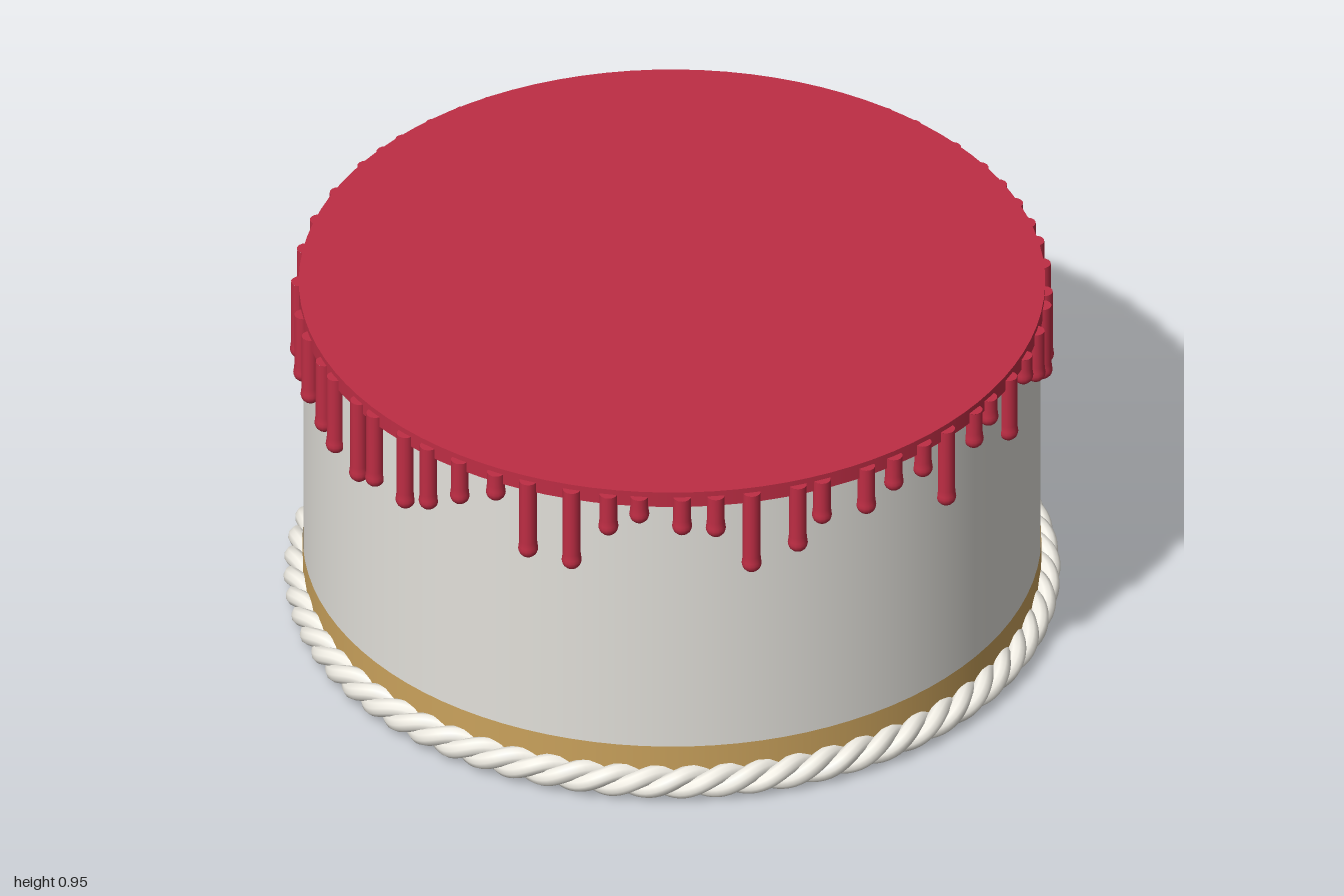
import * as THREE from 'three';

const paint = (color) => new THREE.MeshStandardMaterial({ color });

// Drips as [degrees around from the front, height of the tip]
const DRIPS = [
  [-70, 0.73], [-64, 0.73], [-56.8, 0.72], [-52.4, 0.70], [-45, 0.685], [-40.7, 0.71],
  [-33.5, 0.705], [-28.6, 0.74], [-22.5, 0.80], [-16, 0.85], [-10.5, 0.70], [-3.4, 0.69],
  [2.4, 0.81], [7.2, 0.855], [13.8, 0.82], [19, 0.81], [24.6, 0.69], [32, 0.73],
  [36, 0.80], [43.7, 0.79], [48.8, 0.83], [54.6, 0.83], [59.7, 0.70], [66.4, 0.82],
  [70.5, 0.85], [76.9, 0.74], [83, 0.85], [90, 0.78], [97, 0.71], [100.8, 0.715],
  [108.4, 0.80], [114.6, 0.75], [119.7, 0.82], [125.4, 0.82], [131, 0.78], [136.5, 0.82],
  [143.4, 0.71], [152, 0.82], [157.5, 0.70], [166.7, 0.715], [175, 0.73], [181.7, 0.80],
  [187.8, 0.80], [195.5, 0.69], [202, 0.79], [207, 0.82], [212, 0.83], [217, 0.84],
  [221.5, 0.83], [226.4, 0.78], [232, 0.83], [238.3, 0.69], [242.6, 0.70], [247.5, 0.715],
  [255.9, 0.73], [263.9, 0.69], [272, 0.695], [281, 0.70],
];

// One strand of the rope: a helix wound around a horizontal ring
class StrandCurve extends THREE.Curve {
  constructor(ring, offset, turns, phase) {
    super();
    Object.assign(this, { ring, offset, turns, phase });
  }
  getPoint(t, target = new THREE.Vector3()) {
    const a = t * Math.PI * 2;
    const b = a * this.turns + this.phase;
    const r = this.ring + this.offset * Math.cos(b);
    return target.set(r * Math.sin(a), 0.046 + this.offset * Math.sin(b), r * Math.cos(a));
  }
}

// A runny drop: narrow stem with a slightly fuller rounded tip
function dripGeometry(top, tip) {
  const ball = 0.026;
  const points = [];
  for (let i = 0; i <= 6; i++) {
    const a = (i / 6) * Math.PI * 0.6;
    points.push(new THREE.Vector2(ball * Math.sin(a), tip + ball - ball * Math.cos(a)));
  }
  points.push(new THREE.Vector2(0.023, tip + 0.05), new THREE.Vector2(0.023, top));
  return new THREE.LatheGeometry(points, 14);
}

export function createModel() {
  const model = new THREE.Group();
  const add = (name, geometry, material, y = 0, parent = model) => {
    const mesh = new THREE.Mesh(geometry, material);
    mesh.name = name;
    mesh.position.y = y;
    parent.add(mesh);
    return mesh;
  };

  const red = paint(0xbe2d44);
  const cream = paint(0xf0ede4);

  // Cake body
  add('cakeBody', new THREE.CylinderGeometry(0.948, 0.948, 0.91, 96), paint(0xe2e0da), 0.465);

  // Gold ribbon around the foot of the cake
  const gold = paint(0xcaa25c);
  gold.side = THREE.DoubleSide;
  add('ribbon', new THREE.CylinderGeometry(0.95, 0.95, 0.14, 96, 1, true), gold, 0.08);

  // Icing slab on top
  add('icingTop', new THREE.CylinderGeometry(0.96, 0.96, 0.045, 96), red, 0.9275);

  // Icing drips around the rim
  const drips = new THREE.Group();
  drips.name = 'icingDrips';
  model.add(drips);
  for (const [degrees, tip] of DRIPS) {
    const a = THREE.MathUtils.degToRad(degrees);
    const drip = add('drip', dripGeometry(0.935, tip), red, 0, drips);
    drip.position.set(0.957 * Math.sin(a), 0, 0.957 * Math.cos(a));
    const cap = add('dripTop', new THREE.CircleGeometry(0.023, 14), red, 0.935, drip);
    cap.rotation.x = -Math.PI / 2;
  }

  // Twisted rope border at the base
  const rope = new THREE.Group();
  rope.name = 'ropeBorder';
  model.add(rope);
  for (let i = 0; i < 3; i++) {
    const strand = new StrandCurve(0.954, 0.022, 22, (i * Math.PI * 2) / 3);
    add('ropeStrand', new THREE.TubeGeometry(strand, 500, 0.024, 10, true), cream, 0, rope);
  }

  return model;
}
